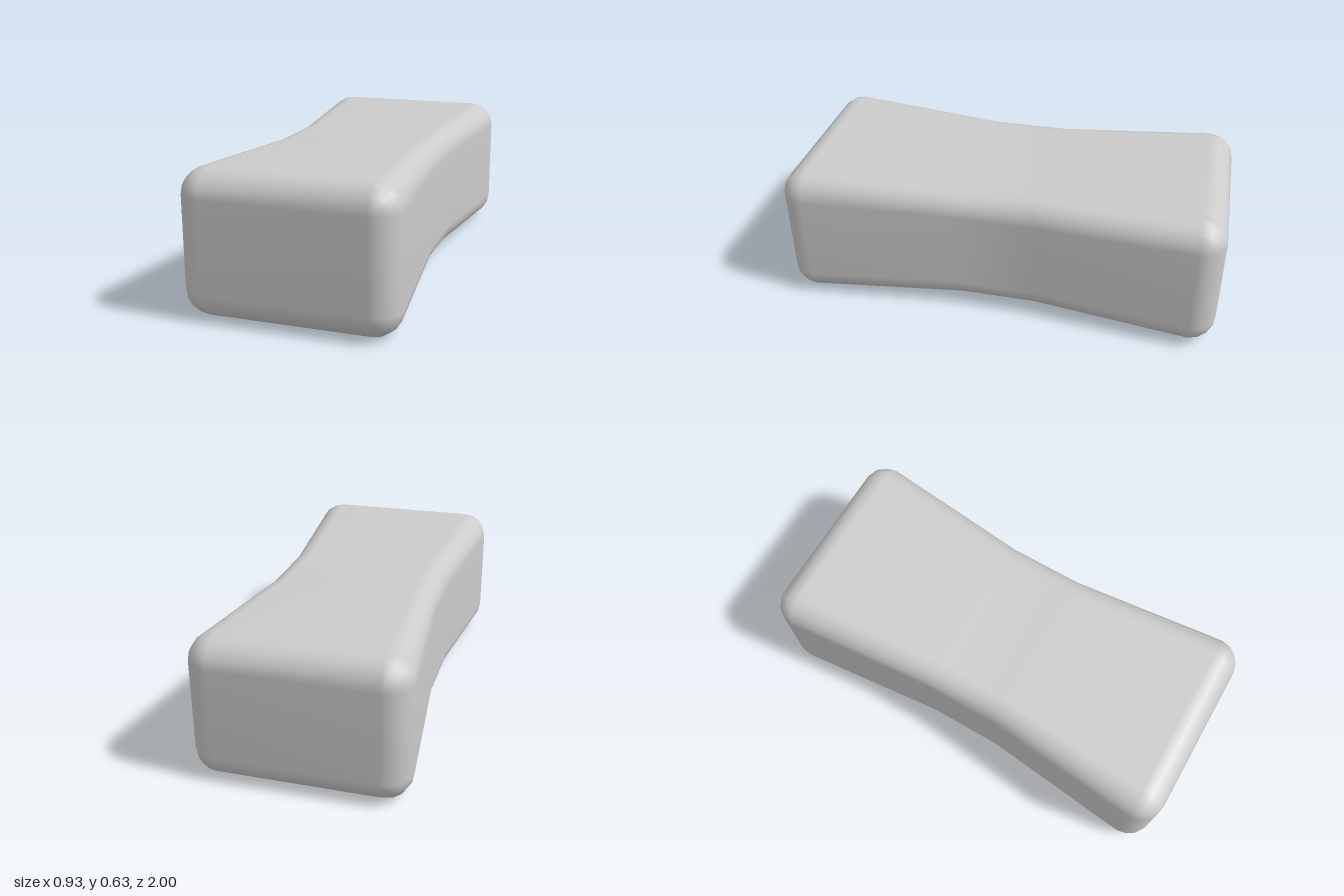
import * as THREE from 'three';
import { mergeVertices } from 'three/addons/utils/BufferGeometryUtils.js';

const W = 0.465, H = 0.315, L = 1, R = 0.115; // half sizes and edge radius
const STEPS = 4;                              // segments per rounded corner

// Cross-section: rounded rectangle with corner radius r, scaled about its centre
function ring(z, r, sx = 1, sy = 1) {
  const points = [];
  for (let q = 0; q < 4; q++) {
    const cx = (q === 0 || q === 3 ? 1 : -1) * (W - R);
    const cy = (q < 2 ? 1 : -1) * (H - R);
    for (let i = 0; i <= STEPS; i++) {
      const a = (q + i / STEPS) * Math.PI / 2;
      points.push([(cx + r * Math.cos(a)) * sx, (cy + r * Math.sin(a)) * sy, z]);
    }
  }
  return points;
}

function waistedBlock() {
  // Rounded front end, narrow straight waist, mirrored rounded back end
  const rings = [];
  for (let i = 0; i <= STEPS; i++) {
    const t = i / STEPS * Math.PI / 2;
    rings.push(ring(L - R + R * Math.cos(t), R * Math.sin(t)));
  }
  rings.push(ring(0.17, R, 0.85, 0.905), ring(-0.17, R, 0.85, 0.905));
  for (let i = STEPS; i >= 0; i--) {
    const t = i / STEPS * Math.PI / 2;
    rings.push(ring(-(L - R + R * Math.cos(t)), R * Math.sin(t)));
  }

  const n = rings[0].length;
  const index = [];
  for (let j = 0; j < rings.length - 1; j++) {
    for (let i = 0; i < n; i++) {
      const a = j * n + i, b = j * n + (i + 1) % n;
      index.push(a, a + n, b, b, a + n, b + n);
    }
  }
  // Flat end faces, whose rings collapse to four corners
  const s = STEPS + 1, e = (rings.length - 1) * n;
  index.push(0, s, 2 * s, 0, 2 * s, 3 * s);
  index.push(e, e + 2 * s, e + s, e, e + 3 * s, e + 2 * s);

  const geometry = new THREE.BufferGeometry();
  geometry.setAttribute('position', new THREE.Float32BufferAttribute(rings.flat(2), 3));
  geometry.setIndex(index);
  const merged = mergeVertices(geometry, 1e-4);
  merged.computeVertexNormals();
  return merged;
}

export function createModel() {
  const group = new THREE.Group();
  group.name = 'waistedBlock';
  const body = new THREE.Mesh(waistedBlock(), new THREE.MeshStandardMaterial({ color: 0xcccccc }));
  body.name = 'body';
  body.position.y = H;
  group.add(body);
  return group;
}
